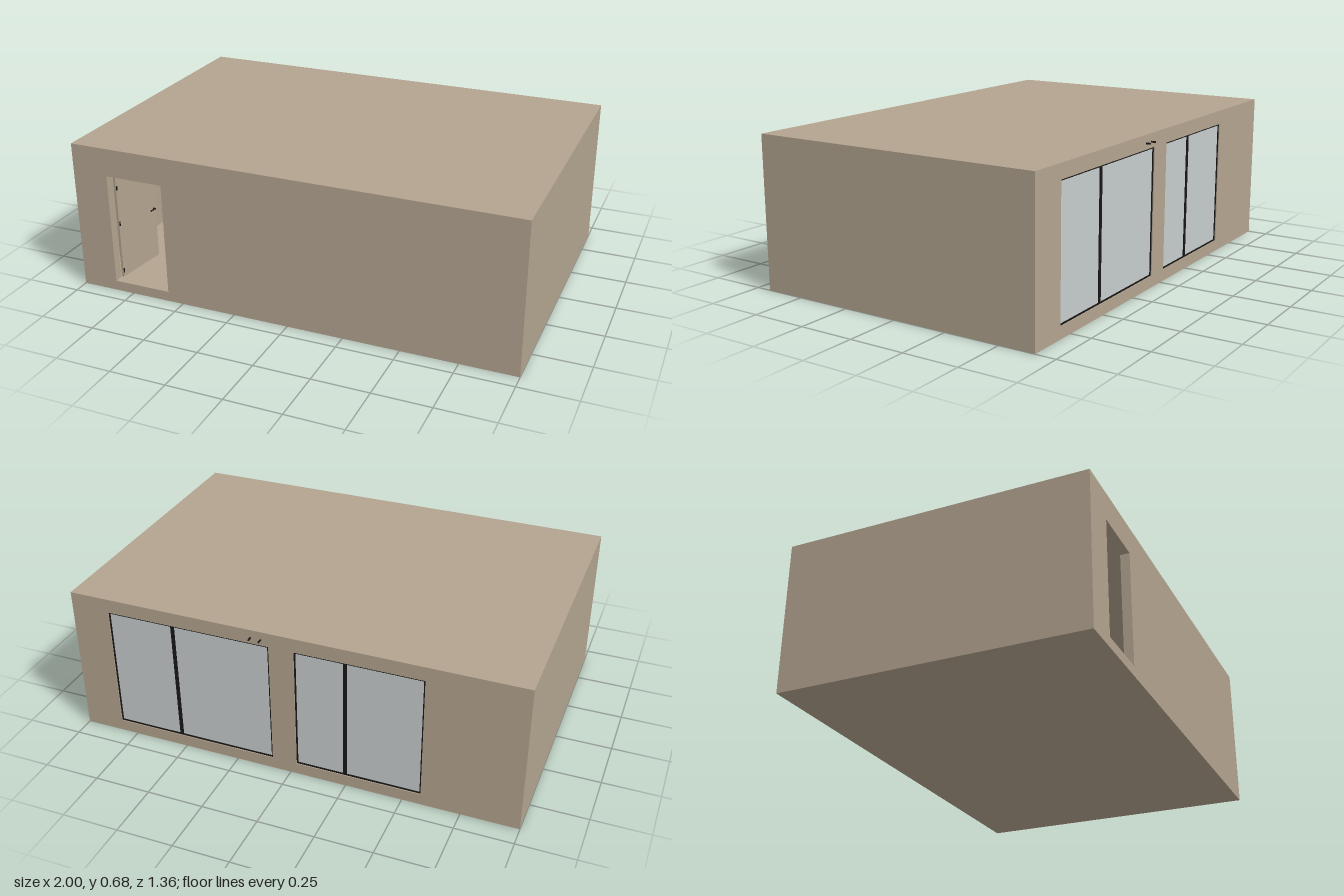
import * as THREE from 'three';

export function createModel() {
  const root = new THREE.Group();
  root.name = 'room';
  const mat = (name, color) => {
    const m = new THREE.MeshStandardMaterial({ color });
    m.name = name;
    return m;
  };
  const plaster = mat('tan plaster', 0xb3a48f);
  const glass = mat('pale glass', 0xc6cccd);
  const black = mat('black metal', 0x191716);
  const charcoal = mat('charcoal shade', 0x2e3032);

  const add = (name, geo, material, parent = root) => {
    const m = new THREE.Mesh(geo, material);
    m.name = name;
    parent.add(m);
    return m;
  };
  // box given by its lower and upper limits
  const box = (name, x0, x1, y0, y1, z0, z1, material, parent) => {
    const m = add(name, new THREE.BoxGeometry(x1 - x0, y1 - y0, z1 - z0), material, parent);
    m.position.set((x0 + x1) / 2, (y0 + y1) / 2, (z0 + z1) / 2);
    return m;
  };
  // round rod between two points
  const rod = (name, a, b, r, material, parent) => {
    const p = new THREE.Vector3(...a), q = new THREE.Vector3(...b);
    const m = add(name, new THREE.CylinderGeometry(r, r, p.distanceTo(q), 10), material, parent);
    m.position.copy(p).lerp(q, 0.5);
    m.quaternion.setFromUnitVectors(new THREE.Vector3(0, 1, 0), q.sub(p).normalize());
    return m;
  };

  const H = 0.676, F = 0.68, B = -0.66, T = 0.04, floorY = 0.045, ceilY = 0.635;
  const door = [-0.835, -0.57, floorY, 0.55];
  const windows = [
    { x0: 0.083, x1: 0.825, split: 0.523 },
    { x0: -0.58, x1: -0.027, split: -0.247 },
  ];
  const wy0 = 0.052, wy1 = 0.613;

  // long walls with rectangular openings
  const wall = (name, z, holes) => {
    const rect = (P, x0, x1, y0, y1) => {
      const p = new P();
      p.moveTo(x0, y0);
      p.lineTo(x1, y0);
      p.lineTo(x1, y1);
      p.lineTo(x0, y1);
      p.closePath();
      return p;
    };
    const s = rect(THREE.Shape, -1, 1, 0, H);
    holes.forEach((h) => s.holes.push(rect(THREE.Path, ...h)));
    add(name, new THREE.ExtrudeGeometry(s, { depth: T, bevelEnabled: false }), plaster).position.z = z;
  };
  wall('frontWall', F - T, [door]);
  wall('backWall', B, windows.map((w) => [w.x0, w.x1, wy0, wy1]));

  // side walls, floor and ceiling
  box('rightWall', -1, -1 + T, 0, H, B + T, F - T, plaster);
  box('leftWall', 1 - T, 1, 0, H, B + T, F - T, plaster);
  box('floor', -1 + T, 1 - T, 0, floorY, B + T, F - T, plaster);
  box('ceiling', -1 + T, 1 - T, ceilY, H, B + T, F - T, plaster);

  // sliding windows: glass, slim frame and meeting post
  windows.forEach(({ x0, x1, split }) => {
    const g = new THREE.Group();
    g.name = 'slidingWindow';
    root.add(g);
    const z0 = B + 0.004, z1 = B + 0.022, t = 0.006;
    box('windowGlass', x0, x1, wy0, wy1, B + 0.008, B + 0.016, glass, g);
    box('windowPost', split - 0.008, split + 0.008, wy0, wy1, z0, z1, black, g);
    [x0, x1 - t].forEach((x) => box('windowJamb', x, x + t, wy0, wy1, z0, z1, black, g));
    [wy0, wy1 - t].forEach((y) => box('windowRail', x0, x1, y, y + t, z0, z1, black, g));
  });

  // pegs on the back wall
  [0.115, 0.16].forEach((x) => rod('wallPeg', [x, 0.64, B + 0.005], [x, 0.64, -0.68], 0.004, black));

  // inward-opening door, swung almost flat, with hinges and handle
  const leaf = new THREE.Group();
  leaf.name = 'openDoor';
  leaf.position.set(-0.826, 0, F - T);
  leaf.rotation.y = -0.12;
  root.add(leaf);
  box('doorLeaf', -0.006, 0.006, floorY + 0.004, 0.545, -0.25, 0, plaster, leaf);
  rod('doorHandle', [0.006, 0.29, -0.235], [0.018, 0.29, -0.235], 0.004, black, leaf);
  rod('doorHandle', [0.016, 0.29, -0.238], [0.016, 0.29, -0.205], 0.003, black, leaf);
  [0.07, 0.3, 0.47].forEach((y) => rod('doorHinge', [0.008, y, -0.003], [0.008, y + 0.02, -0.003], 0.003, black, leaf));

  // dark upright inside the room
  box('darkUpright', -0.587, -0.573, floorY, 0.55, -0.12, -0.1, charcoal);

  // small cabinet with a branch stand against the far wall
  const cz = -0.56;
  box('cabinet', -0.705, -0.575, floorY, 0.145, cz - 0.05, cz + 0.05, plaster);
  box('cabinetTop', -0.71, -0.57, 0.145, 0.155, cz - 0.055, cz + 0.055, plaster);
  rod('standStem', [-0.632, 0.155, cz], [-0.632, 0.465, cz], 0.003, plaster);
  rod('standBranch', [-0.615, 0.235, cz], [-0.685, 0.335, cz], 0.0025, black);
  rod('standBranch', [-0.615, 0.235, cz], [-0.585, 0.32, cz], 0.0025, black);

  // pair of hanging lamps on a slim bar
  rod('lampBar', [-0.688, 0.48, cz], [-0.588, 0.48, cz], 0.0015, plaster);
  [-0.688, -0.588].forEach((x) => {
    rod('lampCord', [x, 0.45, cz], [x, 0.48, cz], 0.0015, black);
    rod('lampShade', [x, 0.385, cz], [x, 0.452, cz], 0.015, charcoal);
  });
  return root;
}
